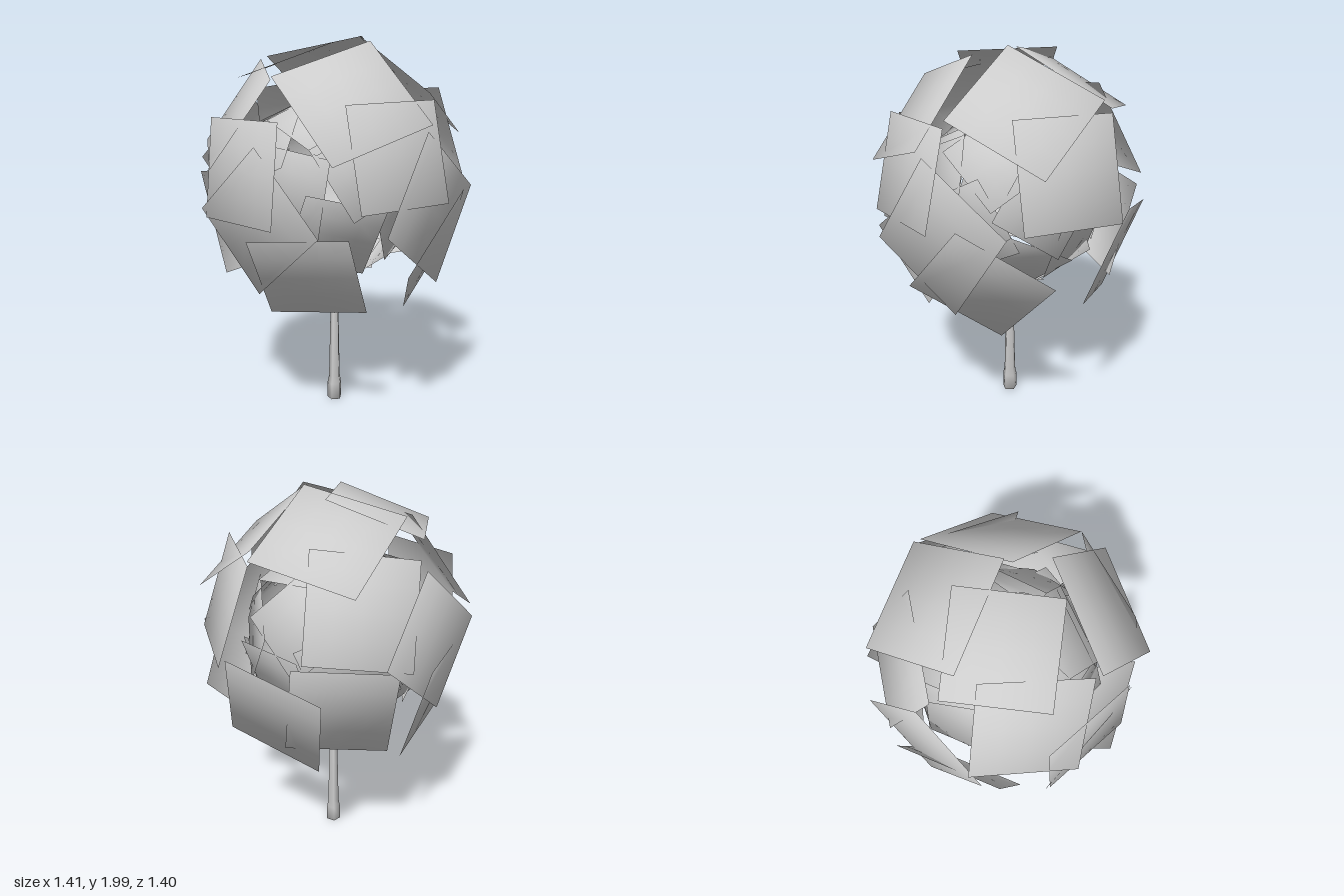
import * as THREE from 'three';

const leafMat = new THREE.MeshStandardMaterial({ color: 0xcccccc, side: THREE.DoubleSide });
leafMat.name = 'pale grey';

const crown = new THREE.Vector3(0, 1.28, 0);

// Square leaf card centred at c, facing along out, with one edge along u.
// Normals fan out from the crown centre so the foliage shades like a ball.
function leafCard(name, c, u, out) {
  const size = u.length();
  const uDir = u.clone().projectOnPlane(out).normalize();
  const vDir = out.clone().cross(uDir);
  const geo = new THREE.PlaneGeometry(size, size, 4, 4);
  geo.applyMatrix4(new THREE.Matrix4().makeBasis(uDir, vDir, out).setPosition(c));
  const pos = geo.attributes.position;
  const p = new THREE.Vector3();
  for (let i = 0; i < pos.count; i++) {
    p.fromBufferAttribute(pos, i).sub(crown).normalize();
    geo.attributes.normal.setXYZ(i, p.x, p.y, p.z);
  }
  const mesh = new THREE.Mesh(geo, leafMat);
  mesh.name = name;
  return mesh;
}

// Outer cards: centre and edge direction
const outer = [
  // front
  [[-0.21, 1.68, 0.425], [0.52, 0.17, 0.10]],
  [[-0.08, 1.43, 0.61], [0.50, 0.01, 0.05]],
  [[0.15, 1.15, 0.61], [0.45, -0.31, -0.11]],
  [[0.29, 0.90, 0.48], [0.30, -0.29, -0.35]],
  [[-0.41, 0.84, 0.34], [-0.285, -0.025, -0.405]],
  // model's right side
  [[-0.57, 1.10, 0.145], [-0.07, -0.34, -0.40]],
  [[-0.47, 1.61, -0.18], [-0.26, -0.09, 0.45]],
  [[-0.61, 1.34, 0.07], [0.05, 0.00, 0.50]],
  // model's left side
  [[0.345, 1.74, 0.235], [0.44, -0.23, -0.21]],
  [[0.56, 1.47, 0.16], [0.12, -0.03, -0.51]],
  [[0.52, 0.965, -0.24], [-0.24, -0.13, -0.455]],
  // top
  [[0.20, 1.81, -0.24], [0.43, -0.27, -0.21]],
  [[-0.175, 1.875, -0.125], [0.34, 0.18, 0.31]],
  // back
  [[0.17, 1.52, -0.48], [0.47, 0.07, 0.23]],
  [[-0.30, 1.00, -0.47], [-0.467, 0.056, 0.297]],
  [[0.27, 1.02, -0.46], [0.47, 0.02, 0.20]],
  [[-0.17, 1.33, -0.58], [-0.30, -0.32, 0.25]],
];

export function createModel() {
  const group = new THREE.Group();
  group.name = 'tree';

  // Five-sided trunk with a thicker foot
  const profile = [[0, 0], [0.04, 0], [0.04, 0.09], [0.032, 0.13], [0.024, 0.5], [0, 0.5]];
  const trunk = new THREE.Mesh(
    new THREE.LatheGeometry(profile.map(([r, y]) => new THREE.Vector2(r, y)), 5, Math.PI * 1.25), leafMat);
  trunk.name = 'trunk';
  trunk.position.set(0.005, 0, 0.025);
  group.add(trunk);

  // Outer foliage: the lower cards hang a little more upright
  const outerLeaves = new THREE.Group();
  outerLeaves.name = 'outerFoliage';
  outer.forEach(([centre, edge], i) => {
    const c = new THREE.Vector3(...centre);
    const out = c.clone().setY(c.y - (c.y < 1.2 ? 1.17 : 1.28)).normalize();
    outerLeaves.add(leafCard('outerLeafCard' + (i + 1), c, new THREE.Vector3(...edge), out));
  });
  group.add(outerLeaves);

  // Inner foliage: smaller cards spread evenly over a smaller ball
  const innerLeaves = new THREE.Group();
  innerLeaves.name = 'innerFoliage';
  const count = 20;
  const forward = new THREE.Vector3(0, 0, 1);
  for (let i = 0; i < count; i++) {
    const y = 1 - (2 * i + 1) / count;
    const r = Math.sqrt(1 - y * y);
    const turn = i * 2.39996;
    const roll = i * 1.9;
    const dir = new THREE.Vector3(r * Math.cos(turn), y, r * Math.sin(turn));
    const u = new THREE.Vector3(Math.cos(roll), Math.sin(roll), 0).multiplyScalar(0.41)
      .applyQuaternion(new THREE.Quaternion().setFromUnitVectors(forward, dir));
    const c = new THREE.Vector3(0, 1.21, 0).addScaledVector(dir, 0.43);
    innerLeaves.add(leafCard('innerLeafCard' + (i + 1), c, u, dir));
  }
  group.add(innerLeaves);

  return group;
}
